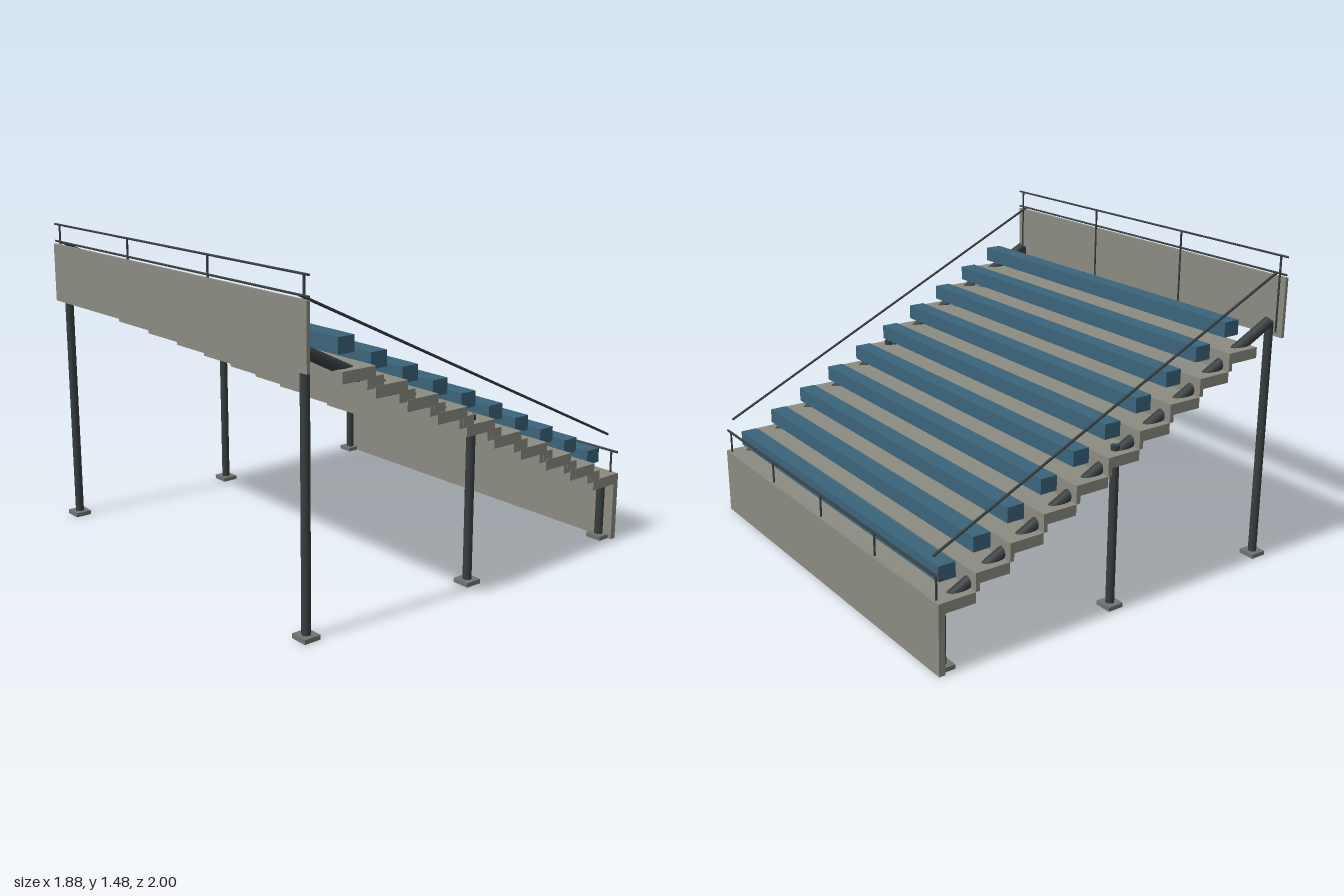
import * as THREE from 'three';

const mat = (name, color) => {
  const m = new THREE.MeshStandardMaterial({ color });
  m.name = name;
  return m;
};

export function createModel() {
  const concrete = mat('concrete', 0x8b8b82);
  const steel = mat('dark steel', 0x373d3f);
  const plate = mat('plate grey', 0x6f7370);
  const blue = mat('bench blue', 0x3b647b);

  const group = new THREE.Group();
  group.name = 'grandstand';

  // Box given by its limits on each axis
  const box = (name, m, x0, x1, y0, y1, z0, z1) => {
    const mesh = new THREE.Mesh(new THREE.BoxGeometry(x1 - x0, y1 - y0, z1 - z0), m);
    mesh.position.set((x0 + x1) / 2, (y0 + y1) / 2, (z0 + z1) / 2);
    mesh.name = name;
    group.add(mesh);
  };

  // Round bar between two points
  const bar = (name, a, b, r, sides = 12) => {
    const p = new THREE.Vector3(...a), q = new THREE.Vector3(...b);
    const d = q.clone().sub(p);
    const mesh = new THREE.Mesh(new THREE.CylinderGeometry(r, r, d.length(), sides), steel);
    mesh.position.copy(p).add(q).multiplyScalar(0.5);
    mesh.quaternion.setFromUnitVectors(new THREE.Vector3(0, 1, 0), d.normalize());
    mesh.name = name;
    group.add(mesh);
  };

  // Ten rows: tread, riser, bench and a half step in the side aisle
  const rows = 10, run = 0.17, drop = 0.084;
  for (let i = 0; i < rows; i++) {
    const x = -0.685 + i * run, top = 1.085 - i * drop;
    const right = x + run / 2;
    box('tread', concrete, x - run / 2, right, top - 0.05, top, -1, 1);
    box('bench', blue, x - 0.042, x + 0.042, top + 0.047, top + 0.117, -0.92, 0.92);
    if (i < rows - 1) {
      box('riser', concrete, right - 0.02, right, top - drop, top - 0.05, -1, 1);
      box('aisleStep', concrete, right - 0.043, right + 0.043,
        top - drop / 2 - 0.05, top - drop / 2, 0.86, 0.998);
    }
  }

  // Raking beams, posts, base plates and sloping handrails on both sides
  for (const z of [-0.94, 0.94]) {
    bar('rakingBeam', [-0.9, 1.17, z], [0.91, 0.275, z], 0.026, 16);
    for (const [x, h] of [[-0.905, 1.17], [-0.005, 0.77], [0.89, 0.28]]) {
      bar('post', [x, 0, z], [x, h, z], 0.02, 16);
      box('basePlate', plate, x - 0.04, x + 0.04, 0, 0.02, z - 0.042, z + 0.042);
    }
    bar('slopingHandrail', [-0.93, 1.393, z], [0.922, 0.512, z], 0.006, 8);
  }

  // Back panel with its rails
  box('backPanel', concrete, -0.942, -0.926, 1.1, 1.38, -1, 1);
  for (const y of [1.393, 1.475]) bar('backRail', [-0.93, y, -1], [-0.93, y, 1], 0.005, 8);
  for (const z of [-0.964, -0.321, 0.321, 0.964])
    bar('backRailPost', [-0.925, 1.12, z], [-0.925, 1.475, z], 0.005, 8);

  // Front wall with its rail
  box('frontWall', concrete, 0.91, 0.94, 0, 0.328, -1, 1);
  bar('frontRail', [0.926, 0.435, -1], [0.926, 0.435, 1], 0.006, 8);
  for (let i = -2; i <= 2; i++)
    bar('frontRailPost', [0.926, 0.32, i * 0.482], [0.926, 0.435, i * 0.482], 0.005, 8);

  return group;
}
